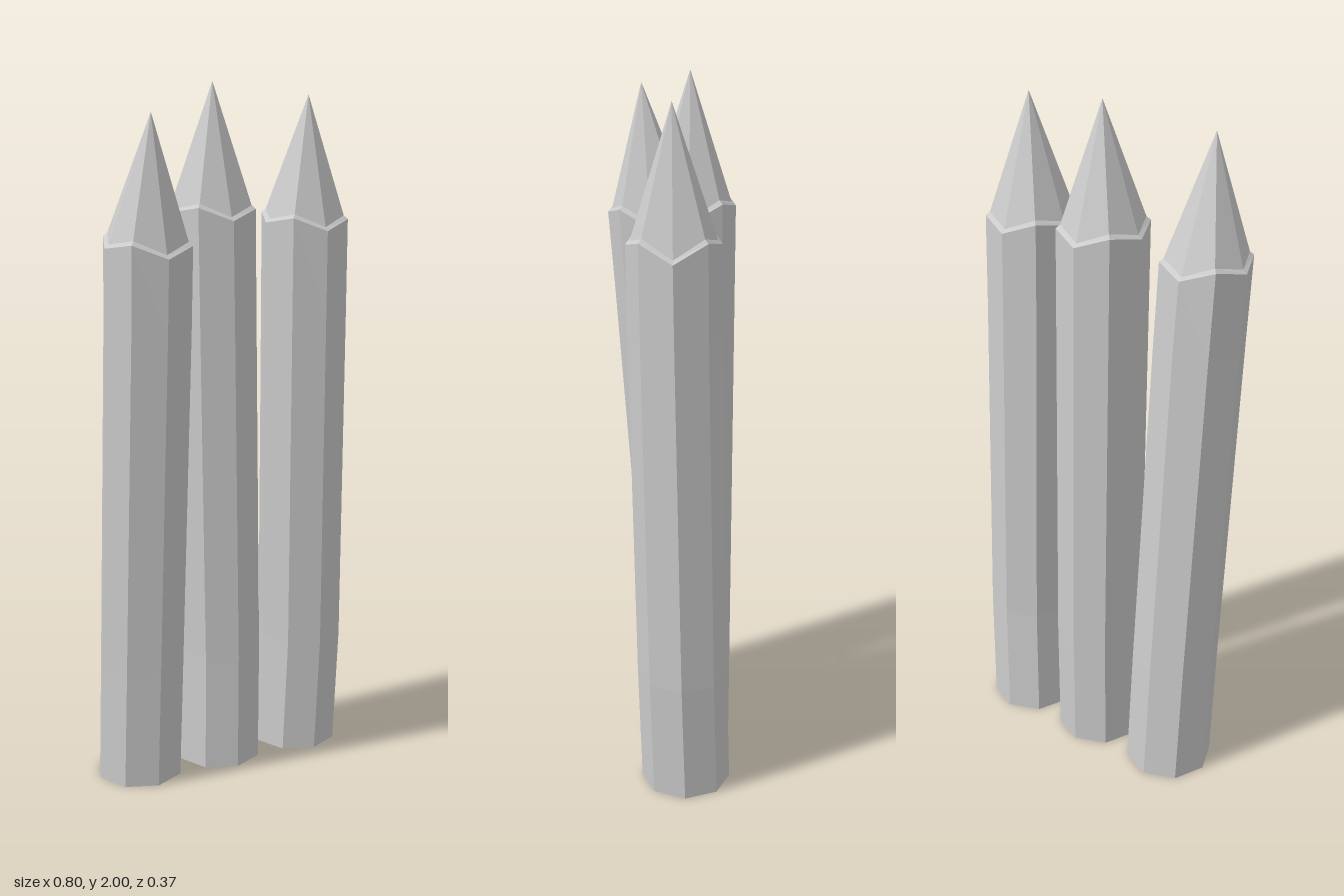
import * as THREE from 'three';

const SIDES = 8;
const RADIUS = 0.127;
// Height offsets of the rough-cut rim, starting at +x and turning towards +z
const RIM = [-0.022, 0.025, 0, 0.037, 0.018, 0.037, 0.003, 0.025];

// Each stake: centres [x, y, z] of its shaft rings from ground to rim, the tip, and the rim's forward slope
const STAKES = [
  { name: 'rightStake', path: [[-0.268, 0, -0.06], [-0.268, 0.35, -0.036], [-0.272, 1.35, 0.038], [-0.275, 1.56, 0.055]], tip: [-0.275, 1.93, 0.083], slope: -0.03 },
  { name: 'middleStake', path: [[-0.004, 0, -0.059], [-0.002, 0.35, -0.059], [-0.016, 1.35, -0.059], [-0.02, 1.63, -0.059]], tip: [-0.018, 2, -0.059], slope: 0 },
  { name: 'leftStake', path: [[0.263, 0, -0.059], [0.272, 0.35, -0.048], [0.262, 1.35, -0.026], [0.26, 1.59, -0.022]], tip: [0.265, 1.96, -0.016], slope: 0 },
];

// One octagonal ring around a centre; the rim weight adds the rough cut
function ring([x, y, z], radius, rim = 0, slope = 0) {
  return RIM.map((offset, i) => {
    const a = (i / SIDES) * Math.PI * 2;
    const dz = Math.sin(a) * radius;
    return [x + Math.cos(a) * radius, y + rim * offset + slope * dz, z + dz];
  });
}

// Skin a stack of rings, counter-clockwise from outside
function loft(rings) {
  const positions = [];
  for (let r = 0; r < rings.length - 1; r++) {
    for (let i = 0; i < SIDES; i++) {
      const j = (i + 1) % SIDES;
      const a = rings[r][i], b = rings[r][j];
      const c = rings[r + 1][j], d = rings[r + 1][i];
      positions.push(...a, ...d, ...c, ...a, ...c, ...b);
    }
  }
  const geometry = new THREE.BufferGeometry();
  geometry.setAttribute('position', new THREE.Float32BufferAttribute(positions, 3));
  geometry.computeVertexNormals();
  return geometry;
}

export function createModel() {
  const model = new THREE.Group();
  model.name = 'woodenStakes';
  const material = new THREE.MeshStandardMaterial({
    color: 0xcccccc, flatShading: true, side: THREE.DoubleSide,
  });

  for (const { name, path, tip, slope } of STAKES) {
    const stake = new THREE.Group();
    stake.name = name;
    const add = (part, rings) => {
      const mesh = new THREE.Mesh(loft(rings), material);
      mesh.name = part;
      stake.add(mesh);
    };

    const top = path[path.length - 1];
    const shaft = path.map((p, i) =>
      i === path.length - 1 ? ring(p, RADIUS, 1, slope) : ring(p, RADIUS));
    const inner = ring([top[0], top[1] + 0.01, top[2]], RADIUS - 0.012, 1, slope);

    // Shaft, open at the ground
    add('shaft', shaft);
    // Narrow bevel between shaft and point
    add('bevel', [shaft[shaft.length - 1], inner]);
    // Sharpened point
    add('point', [inner, ring(tip, 0)]);
    model.add(stake);
  }
  return model;
}
